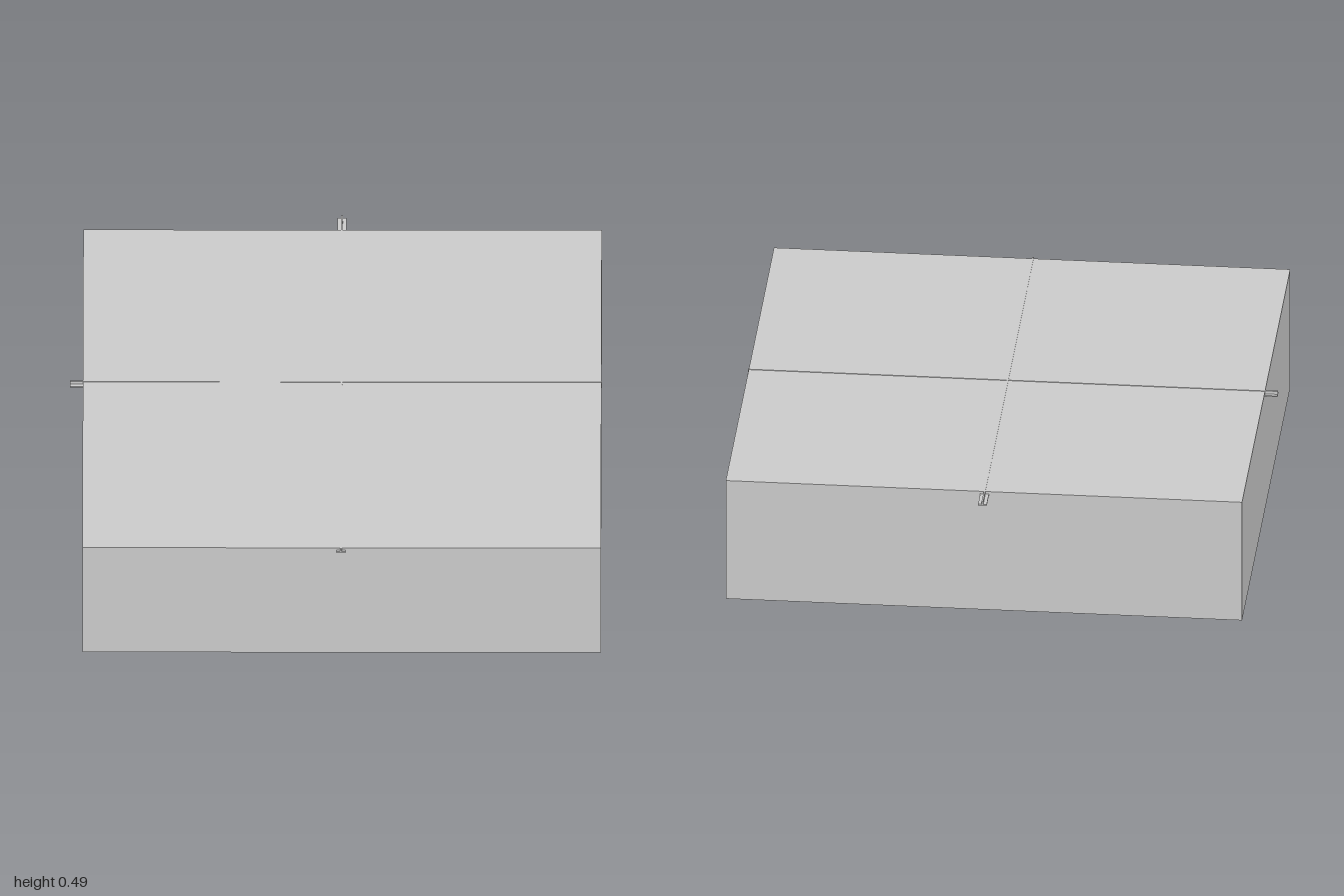
import * as THREE from 'three';

const X0 = -0.93, X1 = 0.975, Z0 = -0.915, Z1 = 0.99, H = 0.486;

export function createModel() {
  const group = new THREE.Group();
  const solid = new THREE.MeshStandardMaterial({ color: 0xcccccc, flatShading: true });
  const sheet = new THREE.MeshStandardMaterial({ color: 0xcccccc, side: THREE.DoubleSide });
  const cx = (X0 + X1) / 2, cz = (Z0 + Z1) / 2, w = X1 - X0, d = Z1 - Z0;

  const add = (name, geometry, material, x, y, z) => {
    const mesh = new THREE.Mesh(geometry, material);
    mesh.name = name;
    mesh.position.set(x, y, z);
    group.add(mesh);
    return mesh;
  };

  // Room shell of thin sheets, open on the +x side
  add('floor', new THREE.PlaneGeometry(w, d).rotateX(-Math.PI / 2), sheet, cx, 0, cz);
  add('ceiling', new THREE.PlaneGeometry(w, d).rotateX(-Math.PI / 2), sheet, cx, H, cz);
  add('frontWall', new THREE.PlaneGeometry(w, H), sheet, cx, H / 2, Z1);
  add('backWall', new THREE.PlaneGeometry(w, H).rotateY(Math.PI), sheet, cx, H / 2, Z0);
  add('sideWall', new THREE.PlaneGeometry(d, H).rotateY(-Math.PI / 2), sheet, X0, H / 2, cz);

  // Square columns: three near the front wall, two near the back wall
  const columns = [[-0.48, 0.83], [0.01, 0.83], [0.51, 0.83], [-0.48, -0.72], [0.51, -0.72]];
  for (const [x, z] of columns) {
    add('column', new THREE.BoxGeometry(0.12, H, 0.12), solid, x, H / 2, z);
  }

  // Inverted T rails crossing under the ceiling
  const profile = new THREE.Shape([
    [-0.016, 0], [0.016, 0], [0.016, 0.005], [0.003, 0.005],
    [0.003, 0.017], [-0.003, 0.017], [-0.003, 0.005], [-0.016, 0.005],
  ].map(([x, y]) => new THREE.Vector2(x, y)));
  const rail = (length) => new THREE.ExtrudeGeometry(profile, { depth: length, bevelEnabled: false })
    .translate(0, 0, -length / 2);
  add('lengthRail', rail(2), solid, 0.02, 0.471, 0);
  add('crossRail', rail(1.955).rotateY(Math.PI / 2), solid, 0, 0.471, -0.005);

  // Slim lamp tubes below each half of the rails
  const tube = (length) => new THREE.CylinderGeometry(0.009, 0.009, length, 8);
  for (const side of [-1, 1]) {
    add('lengthLamp', tube(0.53).rotateX(Math.PI / 2), solid, 0.02, 0.454, side * 0.505);
    add('crossLamp', tube(0.51).rotateZ(Math.PI / 2), solid, side * 0.49, 0.454, -0.005);
  }

  return group;
}
